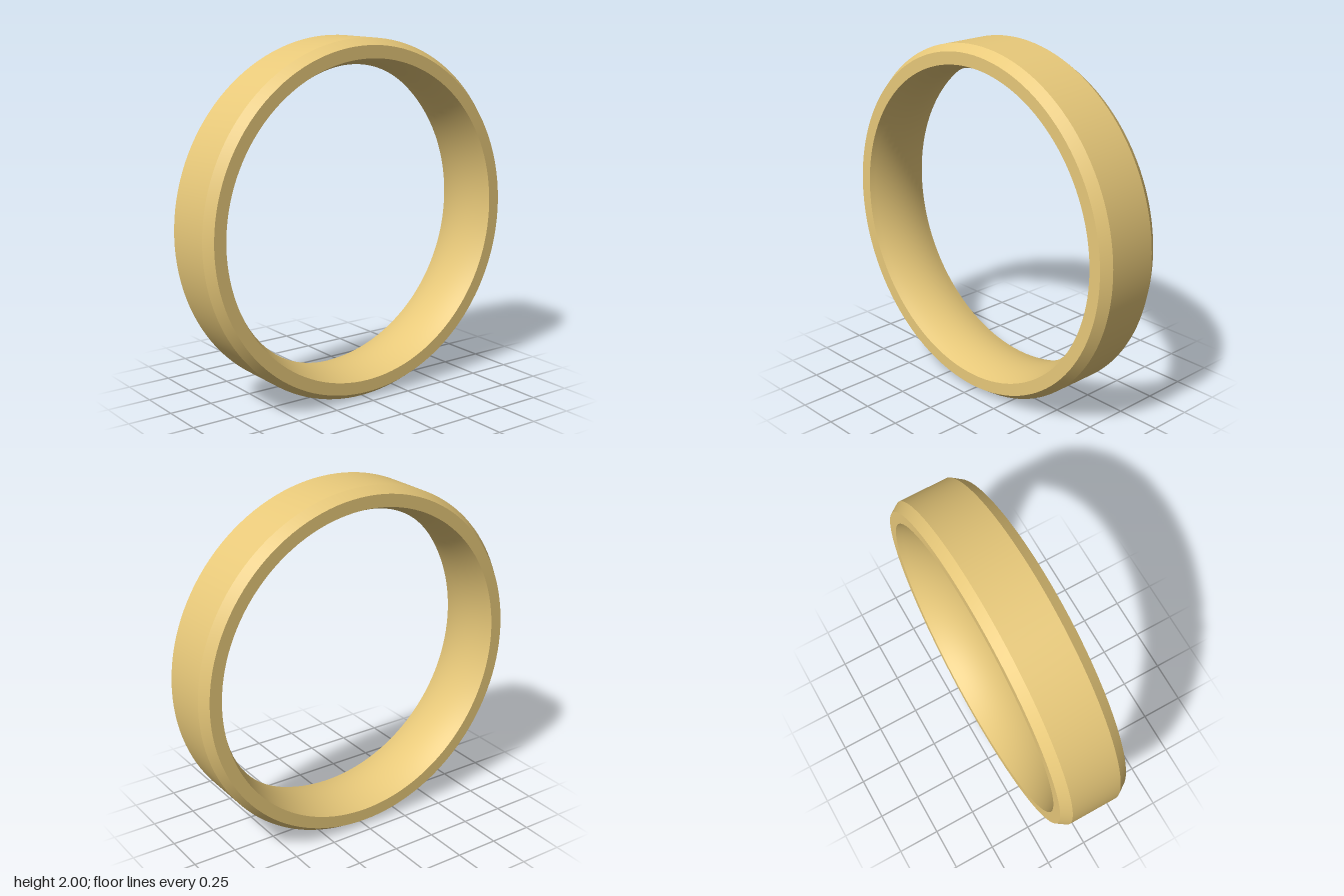
import * as THREE from 'three';
import { toCreasedNormals } from 'three/addons/utils/BufferGeometryUtils.js';

export function createModel() {
  const group = new THREE.Group();
  group.name = 'ring';

  const outer = 1, edge = 0.963, lip = 0.893, inner = 0.85; // radii
  const half = 0.2, flat = 0.145; // half widths of the band and of its outer face

  // Cross-section: flat outer face, chamfers, flat sides
  const profile = [
    [lip, -half], [edge, -half], [outer, -flat],
    [outer, flat], [edge, half], [lip, half],
  ].map(([r, y]) => new THREE.Vector2(r, y));

  // Domed inside, running back to the start
  const steps = 12;
  for (let i = 1; i <= steps; i++) {
    const t = 1 - (2 * i) / steps;
    profile.push(new THREE.Vector2(inner + (lip - inner) * t * t, half * t));
  }

  const geometry = toCreasedNormals(new THREE.LatheGeometry(profile, 128), 0.4);
  geometry.rotateX(Math.PI / 2);

  const band = new THREE.Mesh(geometry, new THREE.MeshStandardMaterial({ color: 0xe8c97a }));
  band.name = 'band';
  band.position.y = outer;
  group.add(band);
  return group;
}
